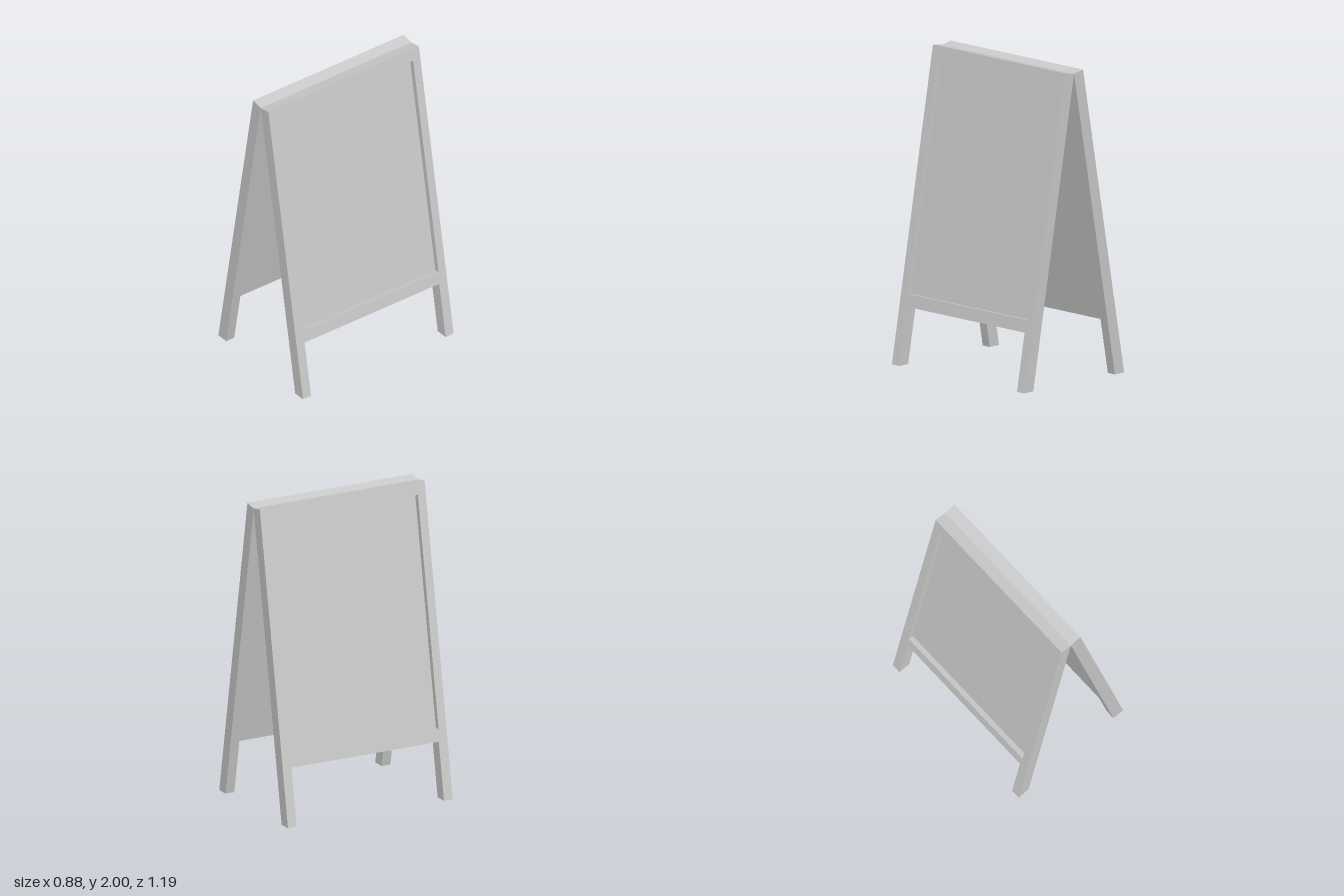
import * as THREE from 'three';

const TILT = Math.atan(0.18);   // lean of each leaf from vertical
const THICK = 0.08;             // frame thickness
const RECESS = 0.035;           // board set back from the outer face
const HALF = 0.593;             // half width of a leaf
const HINGE_Y = 2 - THICK * Math.sin(TILT);

// distance down the leaf for a height on its outer face
const down = (y) => -(2 - y) / Math.cos(TILT);

const poly = (pts, Type = THREE.Shape) =>
  new Type(pts.map(([x, y]) => new THREE.Vector2(x, y)));

const rect = (hw, top, bottom) => [[-hw, bottom], [hw, bottom], [hw, top], [-hw, top]];

const extrude = (shape, depth) =>
  new THREE.ExtrudeGeometry(shape, { depth, bevelEnabled: false });

function createLeaf(name) {
  const material = new THREE.MeshStandardMaterial({ color: 0xcccccc });
  const opening = rect(0.537, down(1.92), down(0.45));
  const railBottom = down(0.37);
  const foot = down(0);

  // Frame outline with two legs and a board opening
  const outline = poly([
    [-HALF, 0], [-HALF, foot], [-0.53, foot], [-0.53, railBottom],
    [0.53, railBottom], [0.53, foot], [HALF, foot], [HALF, 0],
  ]);
  outline.holes.push(poly(opening, THREE.Path));
  const frameGeo = extrude(outline, THICK);

  // Cut the feet level with the ground
  const pos = frameGeo.attributes.position;
  for (let i = 0; i < pos.count; i++) {
    if (pos.getY(i) < railBottom - 0.1) {
      pos.setY(i, -(HINGE_Y + pos.getZ(i) * Math.sin(TILT)) / Math.cos(TILT));
    }
  }
  frameGeo.computeVertexNormals();
  const frame = new THREE.Mesh(frameGeo, material);
  frame.name = 'frame';

  // Board flush with the inside, recessed on the outside
  const board = new THREE.Mesh(extrude(poly(opening), THICK - RECESS), material);
  board.name = 'board';

  // Face outward along x, then lean about the hinge line
  const facing = new THREE.Group();
  facing.name = 'panel';
  facing.rotation.y = Math.PI / 2;
  facing.add(frame, board);

  const lean = new THREE.Group();
  lean.name = 'leaningPanel';
  lean.rotation.z = TILT;
  lean.position.y = HINGE_Y;
  lean.add(facing);

  const leaf = new THREE.Group();
  leaf.name = name;
  leaf.add(lean);
  return leaf;
}

export function createModel() {
  const model = new THREE.Group();
  model.name = 'sandwichBoard';
  const left = createLeaf('leftLeaf');
  const right = createLeaf('rightLeaf');
  right.rotation.y = Math.PI;
  model.add(left, right);
  return model;
}
